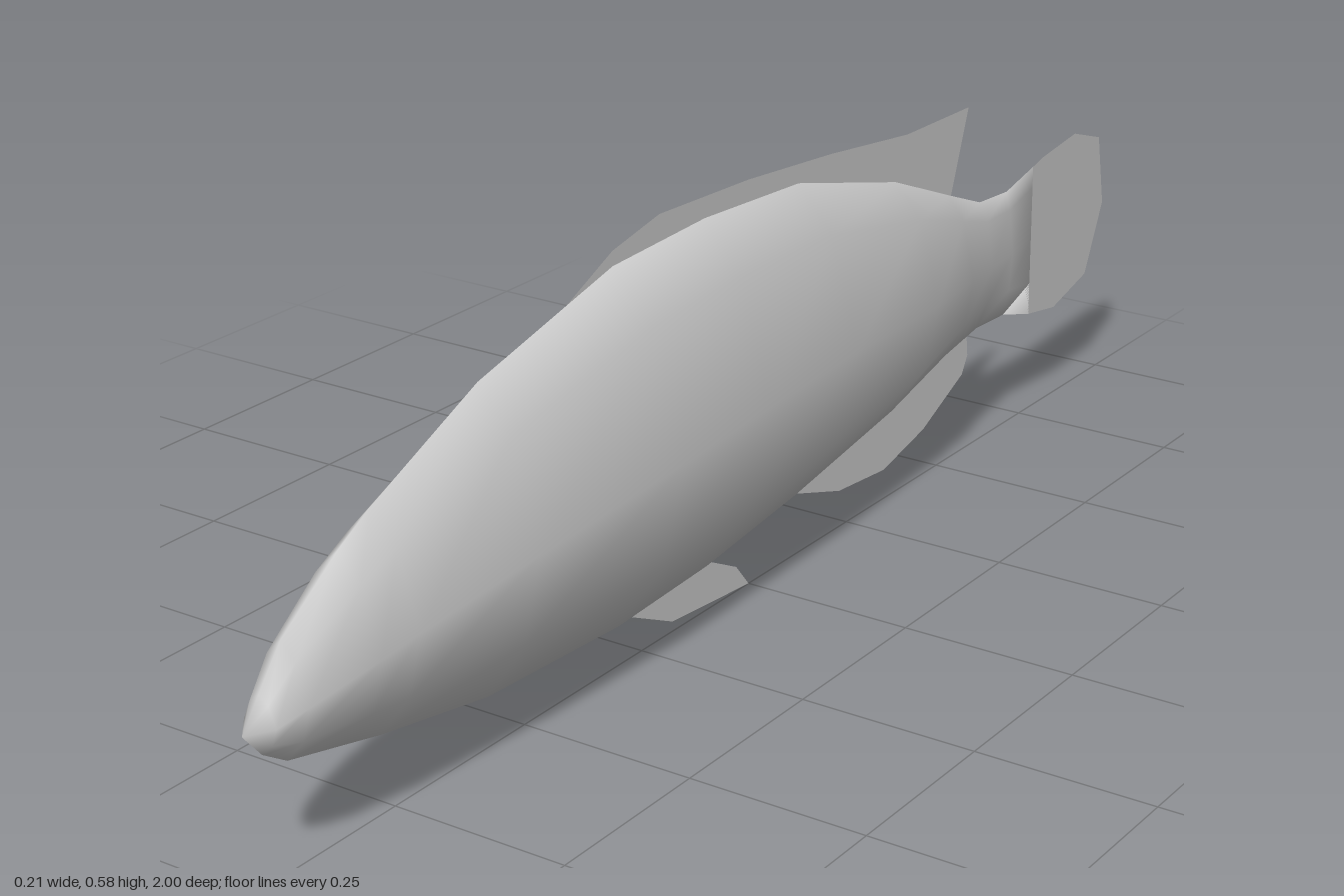
import * as THREE from 'three';
import { mergeVertices } from 'three/addons/utils/BufferGeometryUtils.js';

const grey = new THREE.MeshStandardMaterial({ color: 0xcccccc, side: THREE.DoubleSide });
grey.name = 'grey';

// Body stations from snout to tail root: z, top y, bottom y, half width
const STATIONS = [
  [1.0, 0.2, 0.2, 0],
  [0.97, 0.24, 0.165, 0.024],
  [0.93, 0.29, 0.14, 0.038],
  [0.83, 0.36, 0.117, 0.06],
  [0.77, 0.393, 0.103, 0.066],
  [0.57, 0.48, 0.068, 0.086],
  [0.3, 0.545, 0.055, 0.105],
  [0.1, 0.552, 0.064, 0.1],
  [-0.12, 0.54, 0.09, 0.096],
  [-0.37, 0.475, 0.13, 0.075],
  [-0.52, 0.415, 0.168, 0.044],
  [-0.61, 0.38, 0.183, 0.025],
  [-0.69, 0.375, 0.18, 0.013],
  [-0.77, 0.393, 0.157, 0],
];

// Eight-sided section: fraction of half width, fraction of height
const HALF = [[0, 1], [0.56, 0.86], [1, 0.51], [0.7, 0.21], [0, 0]];
const SECTION = [...HALF, ...HALF.slice(1, 4).reverse().map(([x, y]) => [-x, y])];

function bodyGeometry() {
  const positions = [], indices = [], n = SECTION.length;
  for (const [z, top, bottom, w] of STATIONS) {
    for (const [sx, sy] of SECTION) positions.push(sx * w, bottom + sy * (top - bottom), z);
  }
  for (let i = 0; i < STATIONS.length - 1; i++) {
    for (let j = 0; j < n; j++) {
      const a = i * n + j, b = i * n + (j + 1) % n;
      if (i > 0) indices.push(a, b, a + n);
      indices.push(b, b + n, a + n);
    }
  }
  let geometry = new THREE.BufferGeometry();
  geometry.setAttribute('position', new THREE.Float32BufferAttribute(positions, 3));
  geometry.setIndex(indices);
  geometry = mergeVertices(geometry, 1e-5);
  geometry.computeVertexNormals();
  return geometry;
}

// Flat fin in the middle plane, outlined by [z, y] points
function fin(name, points) {
  const shape = new THREE.Shape(points.map(([z, y]) => new THREE.Vector2(z, y)));
  const mesh = new THREE.Mesh(new THREE.ShapeGeometry(shape).rotateY(-Math.PI / 2), grey);
  mesh.name = name;
  return mesh;
}

export function createModel() {
  const group = new THREE.Group();
  group.name = 'fish';

  const body = new THREE.Mesh(bodyGeometry(), grey);
  body.name = 'body';

  group.add(
    body,
    fin('dorsalFin', [[0.4, 0.52], [0.3, 0.565], [0.2, 0.585], [0, 0.577], [-0.2, 0.56], [-0.4, 0.537],
      [-0.57, 0.535], [-0.525, 0.413], [-0.37, 0.46], [-0.12, 0.52], [0.1, 0.53]]),
    fin('tailFin', [[-0.7, 0.376], [-0.8, 0.4], [-0.9, 0.412], [-0.98, 0.386], [-1, 0.275],
      [-0.95, 0.17], [-0.85, 0.144], [-0.77, 0.157], [-0.69, 0.18]]),
    fin('analFin', [[-0.12, 0.09], [-0.23, 0.055], [-0.35, 0.045], [-0.46, 0.071], [-0.57, 0.122],
      [-0.585, 0.148], [-0.58, 0.19], [-0.37, 0.14]]),
    fin('pelvicFin', [[0.27, 0.056], [0.18, 0.014], [0, 0], [0.03, 0.036], [0.09, 0.066], [0.2, 0.07]]),
  );
  return group;
}
